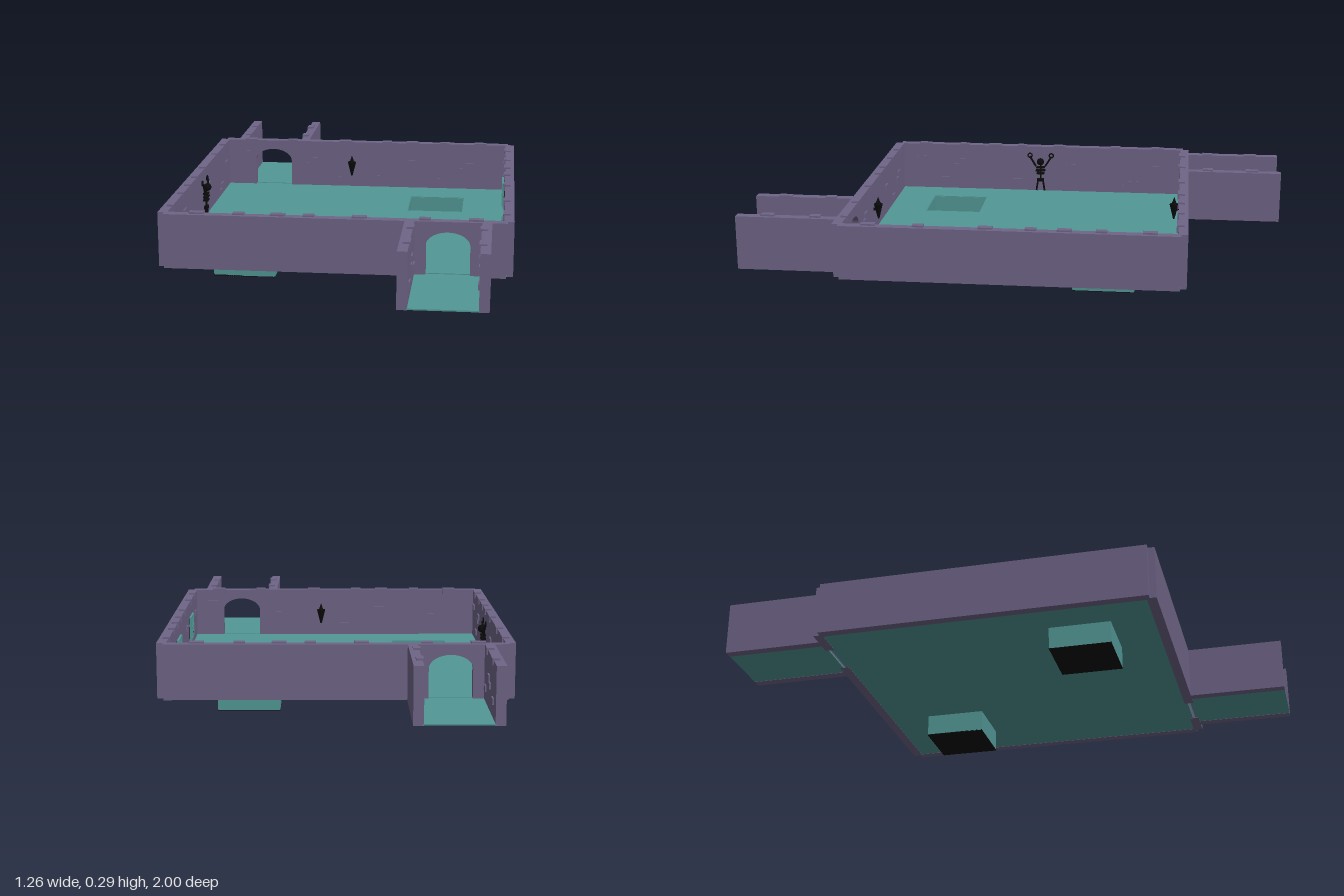
import * as THREE from 'three';

export function createModel() {
  const mat = (name, color) => {
    const m = new THREE.MeshStandardMaterial({ color });
    m.name = name;
    return m;
  };
  const stone = mat('purple stone', 0x6f6587);
  const teal = mat('teal floor', 0x529896);
  const black = mat('black', 0x0b0b0b);

  const BASE = 0.083, TOP = 0.283, H = TOP - BASE, INNER = 0.597, T = 0.035;
  const model = new THREE.Group();
  model.name = 'dungeonRoom';

  const add = (parent, name, geo, material, x = 0, y = 0, z = 0) => {
    const mesh = new THREE.Mesh(geo, material);
    mesh.name = name;
    mesh.position.set(x, y, z);
    parent.add(mesh);
    return mesh;
  };
  const box = (parent, name, material, w, h, d, x, y, z) =>
    add(parent, name, new THREE.BoxGeometry(w, h, d), material, x, y, z);
  const rect = (Type, x0, z0, x1, z1) => {
    const s = new Type();
    s.moveTo(x0, z0);
    s.lineTo(x1, z0);
    s.lineTo(x1, z1);
    s.lineTo(x0, z1);
    s.closePath();
    return s;
  };
  const side = (name, angle) => {
    const g = new THREE.Group();
    g.name = name;
    g.rotation.y = angle;
    model.add(g);
    return g;
  };

  // Floor slabs, with two square pits cut through the main one
  const pits = [[-0.352, 0.33], [0.317, -0.33]];
  const P = 0.112;
  const floorShape = rect(THREE.Shape, -0.61, -0.61, 0.61, 0.61);
  pits.forEach(([x, z]) => floorShape.holes.push(rect(THREE.Path, x - P, -z - P, x + P, -z + P)));
  const floorGeo = new THREE.ExtrudeGeometry(floorShape, { depth: 0.005, bevelEnabled: false });
  floorGeo.rotateX(-Math.PI / 2);
  add(model, 'floor', floorGeo, teal, 0, BASE + 0.001, 0);

  // Pits: four thin sides and a black bottom
  pits.forEach(([x, z]) => {
    const pit = new THREE.Group();
    pit.name = 'pit';
    pit.position.set(x, 0, z);
    model.add(pit);
    for (const s of [-1, 1]) {
      box(pit, 'pitSide', teal, 0.004, 0.085, 2 * P, s * P, 0.0445, 0);
      box(pit, 'pitSide', teal, 2 * P, 0.085, 0.004, 0, 0.0445, s * P);
    }
    box(pit, 'pitBottom', black, 2 * P + 0.004, 0.004, 2 * P + 0.004, 0, 0.002, 0);
  });

  // Raised stones on an inner face at local z, and cap stones along its top
  const bricks = (g, list, z) => list.forEach(([x, y, pair]) => {
    box(g, 'brick', stone, 0.042, 0.021, 0.012, x, y, z);
    if (pair) box(g, 'brick', stone, 0.034, 0.021, 0.012, x + 0.03, y - 0.021, z);
  });
  const caps = (g, list, z) => list.forEach((x, i) =>
    box(g, 'capStone', stone, i % 2 ? 0.04 : 0.052, 0.024, 0.026, x, TOP - 0.006, z + 0.008));

  // Front and back walls with an arched doorway, each leading to a corridor
  for (const [name, angle] of [['frontWall', 0], ['backWall', Math.PI]]) {
    const g = side(name, angle);
    const cx = 0.403, r = 0.078;
    const s = new THREE.Shape();
    s.moveTo(-0.608, BASE);
    s.lineTo(cx - r, BASE);
    s.lineTo(cx - r, 0.195);
    s.absellipse(cx, 0.195, r, 0.05, Math.PI, 0, true);
    s.lineTo(cx + r, BASE);
    s.lineTo(0.608, BASE);
    s.lineTo(0.608, TOP);
    s.lineTo(-0.608, TOP);
    s.closePath();
    const geo = new THREE.ExtrudeGeometry(s, { depth: T, bevelEnabled: false, curveSegments: 16 });
    add(g, 'archedWall', geo, stone, 0, 0, INNER);
    bricks(g, [[-0.45, 0.19, 1], [-0.33, 0.12], [-0.19, 0.2], [-0.04, 0.13], [0.1, 0.12],
      [0.21, 0.2, 1], [0.525, 0.225]], INNER);
    caps(g, [-0.49, -0.34, -0.2, -0.09, 0.09, 0.32, 0.5], INNER);

    box(g, 'corridorFloor', teal, 0.24, 0.005, 0.38, cx, BASE + 0.0036, 0.81);
    for (const d of [-1, 1]) {
      const x = cx + d * 0.135;
      box(g, 'corridorWall', stone, T, H, 0.37, x, BASE + H / 2, 0.815);
      const face = cx + d * 0.118;
      [[0.71, 0.04], [0.885, 0.05]].forEach(([z, w]) =>
        box(g, 'capStone', stone, 0.026, 0.024, w, face + d * 0.008, TOP - 0.006, z));
      [[0.69, 0.14], [0.79, 0.2], [0.82, 0.179], [0.92, 0.15]].forEach(([z, y]) =>
        box(g, 'brick', stone, 0.012, 0.021, 0.04, face, y, z));
    }

    // Wall torch: tapered holder, bracket and flame
    const torch = new THREE.Group();
    torch.name = 'torch';
    torch.position.set(0.06, 0, INNER - 0.019);
    g.add(torch);
    add(torch, 'torchHolder', new THREE.CylinderGeometry(0.018, 0.003, 0.06, 8), black, 0, 0.17, 0);
    add(torch, 'torchFlame', new THREE.ConeGeometry(0.011, 0.03, 6), black, 0, 0.214, 0);
    box(torch, 'torchBracket', black, 0.01, 0.01, 0.02, 0, 0.178, 0.01);
  }

  // Plain side walls
  for (const [name, angle] of [['leftWall', Math.PI / 2], ['rightWall', -Math.PI / 2]]) {
    const g = side(name, angle);
    box(g, 'plainWall', stone, 1.216, H, T, 0, BASE + H / 2, INNER + T / 2);
    bricks(g, [[-0.5, 0.2], [-0.4, 0.13, 1], [-0.13, 0.2], [0.1, 0.13], [0.33, 0.21, 1],
      [0.42, 0.13], [0.52, 0.22]], INNER);
    caps(g, [-0.5, -0.32, -0.08, 0.08, 0.2, 0.33, 0.5], INNER);

    if (name === 'leftWall') {
      // Barred windows
      for (const x of [0.21, -0.28]) {
        const w = new THREE.Group();
        w.name = 'barredWindow';
        w.position.set(x, 0.18, INNER - 0.004);
        g.add(w);
        box(w, 'windowOpening', black, 0.11, 0.085, 0.006, 0, 0, 0);
        for (const s of [-1, 0, 1]) {
          box(w, 'windowBar', teal, 0.009, 0.094, 0.008, s * 0.052, 0, -0.003);
          box(w, 'windowBar', teal, 0.113, 0.009, 0.008, 0, s * 0.043, -0.003);
        }
      }
    } else {
      // Chained bones hanging on the wall
      const b = new THREE.Group();
      b.name = 'hangingBones';
      b.position.set(0, 0, INNER - 0.016);
      g.add(b);
      add(b, 'skull', new THREE.IcosahedronGeometry(0.016, 1), black, 0, 0.222, -0.006);
      box(b, 'spine', black, 0.006, 0.075, 0.006, 0, 0.175, 0);
      [0.036, 0.04, 0.032].forEach((w, i) =>
        box(b, 'rib', black, w, 0.006, 0.02, 0, 0.196 - i * 0.013, 0));
      box(b, 'pelvis', black, 0.03, 0.012, 0.014, 0, 0.14, 0);
      for (const s of [-1, 1]) {
        box(b, 'arm', black, 0.007, 0.05, 0.007, s * 0.033, 0.222, 0).rotation.z = -s * 0.55;
        add(b, 'shackle', new THREE.TorusGeometry(0.009, 0.003, 6, 10), black, s * 0.046, 0.247, 0.004);
        box(b, 'leg', black, 0.007, 0.045, 0.007, s * 0.014, 0.116, 0).rotation.z = s * 0.15;
      }
    }
  }
  return model;
}
